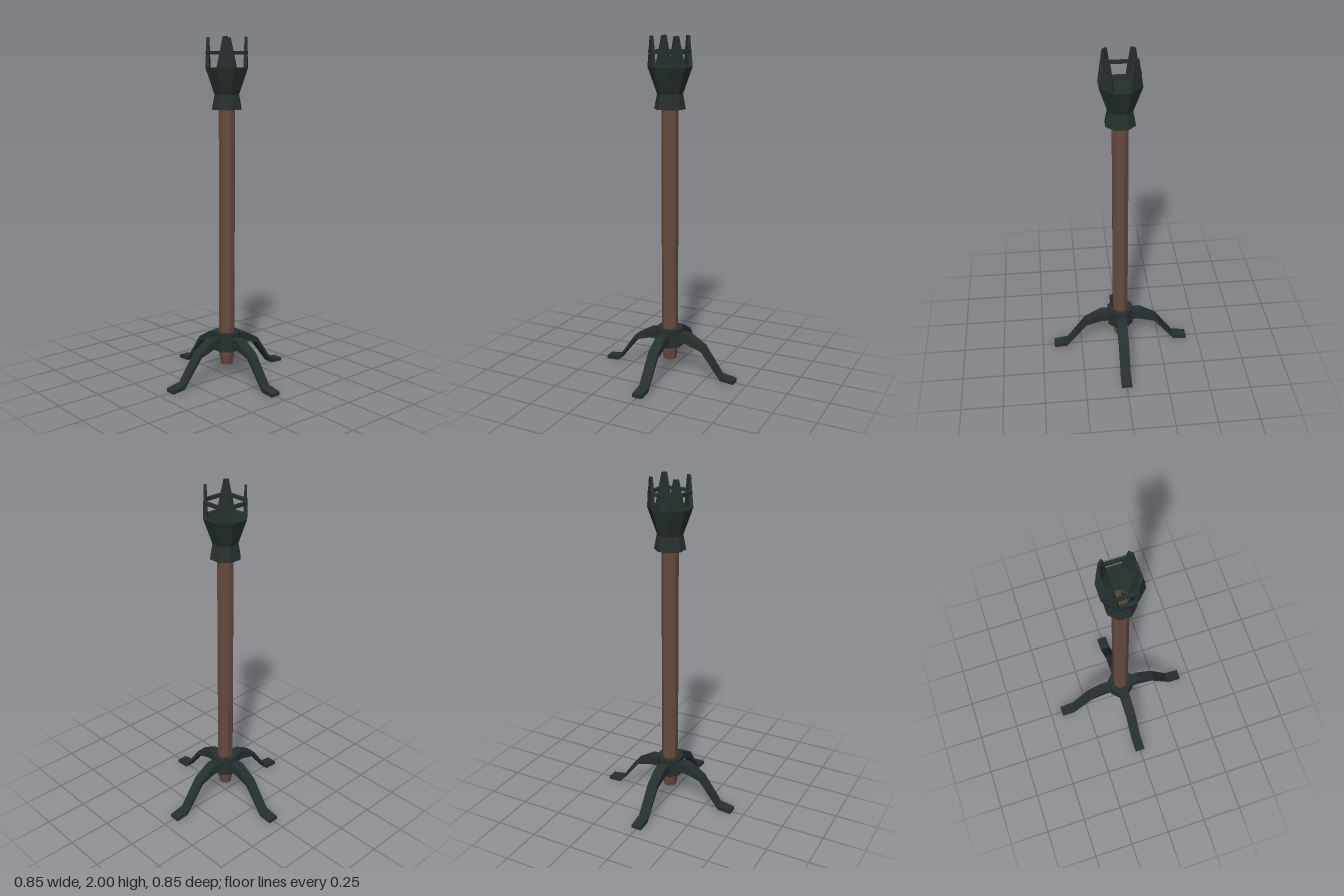
import * as THREE from 'three';

const iron = new THREE.MeshStandardMaterial({ name: 'dark iron', color: 0x25302f, side: THREE.DoubleSide });
const wood = new THREE.MeshStandardMaterial({ name: 'brown wood', color: 0x654a3e, side: THREE.DoubleSide });

// Faceted mesh: split the vertices so that every face keeps its own normal
function part(name, geometry, material) {
  const g = geometry.index ? geometry.toNonIndexed() : geometry;
  g.computeVertexNormals();
  const mesh = new THREE.Mesh(g, material);
  mesh.name = name;
  return mesh;
}

// Eight-sided turned form, with flat sides facing the axes; profile is [distance to flat, y]
function octagon(profile) {
  const k = 1 / Math.cos(Math.PI / 8);
  const points = profile.map(([r, y]) => new THREE.Vector2(r * k, y));
  return new THREE.LatheGeometry(points, 8, Math.PI / 8);
}

// Tapered prong standing on a diagonal side of the rim
function prongGeometry() {
  const g = new THREE.BoxGeometry(2, 1, 2);
  const p = g.attributes.position;
  for (let i = 0; i < p.count; i++) {
    const top = p.getY(i) > 0, outer = p.getZ(i) > 0;
    const halfWidth = top ? 0.014 : outer ? 0.0485 : 0.042;
    const radius = top ? (outer ? 0.114 : 0.1) : (outer ? 0.117 : 0.096);
    p.setXYZ(i, Math.sign(p.getX(i)) * halfWidth, top ? 2 : 1.83, radius);
  }
  return g;
}

// Side outline of a leg, running out along +x
function legGeometry() {
  const outline = [
    [0.06, 0.255], [0.125, 0.255], [0.225, 0.195], [0.337, 0.035], [0.426, 0.02],
    [0.426, 0], [0.345, 0.006], [0.217, 0.168], [0.12, 0.198], [0.06, 0.198],
  ];
  const shape = new THREE.Shape(outline.map(([x, y]) => new THREE.Vector2(x, y)));
  return new THREE.ExtrudeGeometry(shape, { depth: 0.062, bevelEnabled: false }).translate(0, 0, -0.031);
}

export function createModel() {
  const model = new THREE.Group();
  model.name = 'standing torch holder';

  // Hollow pole with a tapered lower end
  model.add(part('pole', octagon([[0.035, 0.08], [0.045, 0.15], [0.045, 1.68]]), wood));

  // Hub that clasps the pole and carries the legs
  model.add(part('hub', octagon([
    [0.045, 0.17], [0.076, 0.17], [0.076, 0.28], [0.045, 0.28], [0.045, 0.17],
  ]), iron));

  // Collar and flared cup
  model.add(part('cup', octagon([
    [0.045, 1.595], [0.083, 1.595], [0.068, 1.68], [0.117, 1.83], [0.095, 1.83], [0.045, 1.68], [0.045, 1.595],
  ]), iron));

  // Four legs, four prongs on the diagonals, four bars between the prongs
  for (let i = 0; i < 4; i++) {
    const turn = i * Math.PI / 2;
    const leg = part('leg', legGeometry(), iron);
    const prong = part('prong', prongGeometry(), iron);
    const bar = part('bar', new THREE.BoxGeometry(0.116, 0.018, 0.018).translate(0, 1.912, 0.097), iron);
    leg.rotation.y = turn;
    prong.rotation.y = turn + Math.PI / 4;
    bar.rotation.y = turn;
    model.add(leg, prong, bar);
  }
  return model;
}
